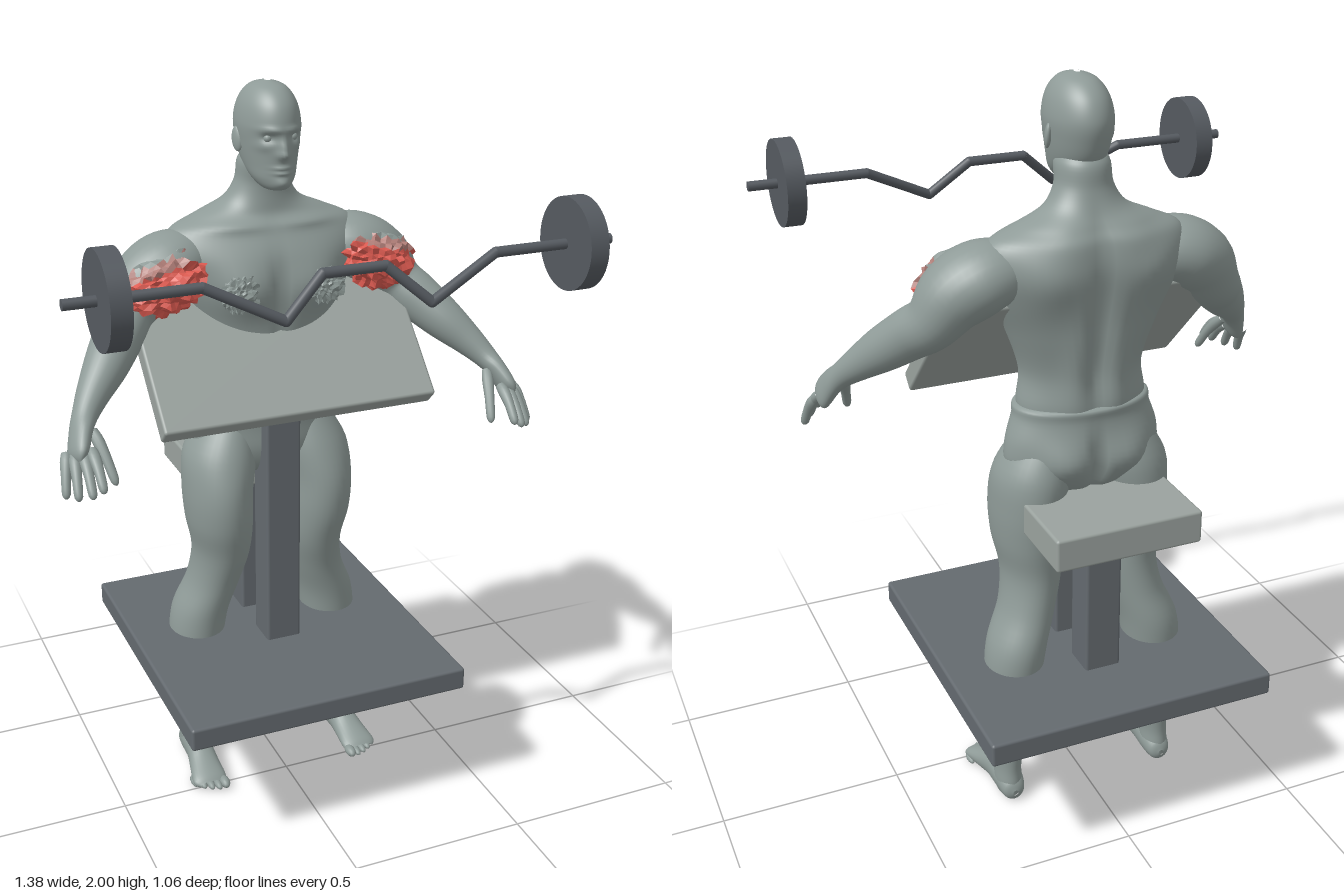
import * as THREE from 'three';
import { RoundedBoxGeometry } from 'three/addons/geometries/RoundedBoxGeometry.js';

const material = (name, color) => Object.assign(new THREE.MeshStandardMaterial({ color }), { name });
const V = (x, y, z) => new THREE.Vector3(x, y, z);
const UP = V(0, 1, 0), FORWARD = V(0, 0, 1);

// Smooth interpolation through rows of numbers
function spline(rows, t) {
  const i = Math.min(Math.floor(t), rows.length - 2), f = t - i;
  const at = k => rows[Math.max(0, Math.min(rows.length - 1, k))];
  return rows[0].map((_, c) => {
    const p0 = at(i - 1)[c], p1 = at(i)[c], p2 = at(i + 1)[c], p3 = at(i + 2)[c];
    return p1 + 0.5 * f * (p2 - p0 + f * (2 * p0 - 5 * p1 + 4 * p2 - p3 + f * (3 * (p1 - p2) + p3 - p0)));
  });
}

// Skin over elliptical sections [x, y, z, radiusA, radiusB]; dir fixes the ring direction
function loft(rows, { dir, deform, sides = 28, steps = 5 } = {}) {
  const count = (rows.length - 1) * steps, pos = [], index = [];
  const rings = Array.from({ length: count + 1 }, (_, i) => spline(rows, i / steps));
  rings.forEach((r, i) => {
    const a = rings[Math.max(0, i - 1)], b = rings[Math.min(count, i + 1)];
    const T = dir ?? V(b[0] - a[0], b[1] - a[1], b[2] - a[2]).normalize();
    const U = V().crossVectors(Math.abs(T.z) > 0.9 ? UP : FORWARD, T).normalize();
    const W = V().crossVectors(T, U);
    for (let j = 0; j < sides; j++) {
      const t = j / sides * Math.PI * 2;
      const p = V(r[0], r[1], r[2])
        .addScaledVector(U, Math.cos(t) * Math.max(0.001, r[3]))
        .addScaledVector(W, Math.sin(t) * Math.max(0.001, r[4]));
      if (deform) deform(p);
      pos.push(p.x, p.y, p.z);
      if (i < count) {
        const q = i * sides + j, n = i * sides + (j + 1) % sides;
        index.push(q, n, q + sides, n, n + sides, q + sides);
      }
    }
  });
  const g = new THREE.BufferGeometry();
  g.setAttribute('position', new THREE.Float32BufferAttribute(pos, 3));
  g.setIndex(index);
  g.computeVertexNormals();
  return g;
}

// Mirrored muscle bumps [x, y, widthX, widthY, height, side], side +1 front, -1 back
const bumps = (list, zc) => p => {
  const z = p.z;
  for (const [x, y, sx, sy, h, side] of list) {
    const facing = THREE.MathUtils.clamp((z - zc) * side * 20, 0, 1);
    p.z += side * h * facing * Math.exp(-(((Math.abs(p.x) - x) / sx) ** 2) - ((p.y - y) / sy) ** 2);
  }
};

// Jagged torn lump; pick(centre) chooses the material slot of each face
function crumple(radii, detail, amount, pick) {
  const g = new THREE.IcosahedronGeometry(1, detail), p = g.attributes.position, v = V();
  for (let i = 0; i < p.count; i++) {
    v.fromBufferAttribute(p, i);
    const n = Math.sin(v.x * 17 + v.y * 9) * Math.sin(v.y * 21 - v.z * 13) + 0.6 * Math.sin(v.z * 31 + v.x * 27);
    v.multiplyScalar(1 + amount * n).multiply(radii);
    p.setXYZ(i, v.x, v.y, v.z);
  }
  g.computeVertexNormals();
  if (pick) for (let i = 0; i < p.count; i += 3) {
    const c = V();
    for (let k = 0; k < 3; k++) c.add(v.fromBufferAttribute(p, i + k));
    g.addGroup(i, 3, pick(c.divideScalar(3).divide(radii)));
  }
  return g;
}

export function createModel() {
  const model = new THREE.Group();
  const skin = material('grey skin', 0x8f9b98), pad = material('pad grey', 0x9aa29e);
  const frame = material('frame grey', 0x646a6f), iron = material('iron grey', 0x555a60);
  const red = material('muscle red', 0xdc5a50), faded = material('faded red', 0xb4817b);
  const add = (name, geometry, mat, x = 0, y = 0, z = 0) => {
    const m = new THREE.Mesh(geometry, mat);
    m.name = name;
    m.position.set(x, y, z);
    model.add(m);
    return m;
  };
  const box = (name, w, h, d, mat, x, y, z) => add(name, new RoundedBoxGeometry(w, h, d, 2, 0.008), mat, x, y, z);

  // Bench
  box('basePlate', 0.8, 0.065, 0.86, frame, 0, 0.4075, -0.097);
  box('frontPost', 0.1, 0.85, 0.1, frame, 0, 0.845, -0.065);
  box('rearPost', 0.1, 0.46, 0.1, frame, 0, 0.65, -0.27);
  box('seat', 0.4, 0.09, 0.3, pad, 0, 0.905, -0.32);
  box('armPad', 0.76, 0.055, 0.45, pad, 0, 1.33, -0.048).rotation.x = Math.PI / 4;

  // Cambered barbell
  const bar = [[-0.69, 0, 0], [-0.37, 0, 0], [-0.185, -0.09, 0.037], [-0.08, 0, 0],
    [0.08, 0, 0], [0.185, -0.09, 0.037], [0.37, 0, 0], [0.69, 0, 0]].map(p => V(p[0], p[1] + 1.655, p[2] + 0.413));
  bar.slice(1).forEach((b, i) => {
    const a = bar[i], d = b.clone().sub(a);
    const m = add('barSegment', new THREE.CylinderGeometry(0.013, 0.013, d.length(), 16), iron);
    m.position.copy(a).add(b).multiplyScalar(0.5);
    m.quaternion.setFromUnitVectors(UP, d.normalize());
    if (i) add('barBend', new THREE.SphereGeometry(0.013, 16, 10), iron, a.x, a.y, a.z);
  });

  // Torso and neck
  add('torso', loft([
    [0, 1.1, -0.16, 0.02, 0.02], [0, 1.13, -0.16, 0.15, 0.1], [0, 1.18, -0.158, 0.174, 0.112],
    [0, 1.27, -0.155, 0.165, 0.11], [0, 1.38, -0.16, 0.2, 0.125], [0, 1.48, -0.165, 0.245, 0.133],
    [0, 1.56, -0.17, 0.275, 0.133], [0, 1.62, -0.178, 0.255, 0.112], [0, 1.655, -0.18, 0.185, 0.09],
    [0, 1.69, -0.175, 0.108, 0.078], [0, 1.74, -0.167, 0.074, 0.07], [0, 1.8, -0.155, 0.066, 0.072],
    [0, 1.84, -0.15, 0.03, 0.03]], { dir: UP, sides: 64, steps: 6, deform: bumps([
    [0.1, 1.48, 0.085, 0.07, 0.032, 1], [0, 1.48, 0.02, 0.09, -0.012, 1], [0, 1.29, 0.012, 0.08, -0.008, 1],
    [0.05, 1.3, 0.03, 0.025, 0.008, 1], [0.05, 1.23, 0.03, 0.025, 0.008, 1], [0.1, 1.64, 0.09, 0.015, 0.012, 1],
    [0.14, 1.54, 0.08, 0.08, 0.022, -1], [0, 1.4, 0.025, 0.2, -0.022, -1], [0.06, 1.27, 0.035, 0.1, 0.012, -1],
    [0.08, 1.64, 0.06, 0.05, 0.015, -1]], -0.165) }), skin);

  // Hips
  add('hips', loft([
    [0, 0.92, -0.16, 0.02, 0.02], [0, 0.95, -0.16, 0.13, 0.08], [0, 1.01, -0.163, 0.205, 0.108],
    [0, 1.08, -0.165, 0.21, 0.113], [0, 1.15, -0.16, 0.188, 0.115], [0, 1.182, -0.158, 0.18, 0.118],
    [0, 1.186, -0.158, 0.12, 0.08]], { dir: UP, sides: 56, deform: bumps([
    [0.09, 1.04, 0.07, 0.06, 0.028, -1], [0, 1.02, 0.016, 0.08, -0.03, -1]], -0.16) }), skin);

  // Head and face
  add('head', loft([
    [0, 1.732, -0.075, 0.008, 0.012], [0, 1.74, -0.078, 0.034, 0.048], [0, 1.765, -0.095, 0.055, 0.075],
    [0, 1.8, -0.118, 0.067, 0.1], [0, 1.85, -0.128, 0.076, 0.114], [0, 1.9, -0.13, 0.08, 0.121],
    [0, 1.95, -0.128, 0.069, 0.105], [0, 1.985, -0.126, 0.044, 0.066], [0, 1.999, -0.125, 0.008, 0.012]],
    { dir: UP, sides: 80, steps: 10, deform: bumps([
      [0, 1.845, 0.012, 0.022, 0.016, 1], [0, 1.829, 0.015, 0.01, 0.012, 1], [0.034, 1.872, 0.017, 0.012, -0.012, 1],
      [0.03, 1.892, 0.028, 0.008, 0.006, 1], [0, 1.796, 0.024, 0.005, 0.007, 1], [0, 1.783, 0.022, 0.005, 0.007, 1],
      [0, 1.757, 0.022, 0.014, 0.01, 1], [0.05, 1.85, 0.015, 0.012, 0.005, 1]], -0.12) }), skin);

  for (const s of [1, -1]) {
    const side = s > 0 ? 'left' : 'right';
    const limb = (name, rows, options) =>
      add(side + name, loft(rows.map(([x, ...r]) => [s * x, ...r]), options), skin);

    // Weight plate
    add(side + 'Plate', new THREE.CylinderGeometry(0.115, 0.115, 0.05, 48), iron, s * 0.588, 1.655, 0.413)
      .rotation.z = Math.PI / 2;

    // Ear and eye
    const ear = add(side + 'Ear', new THREE.SphereGeometry(1, 16, 12), skin, s * 0.079, 1.855, -0.135);
    ear.scale.set(0.009, 0.032, 0.018);
    ear.rotation.set(-0.2, s * -0.4, 0);
    add(side + 'Eye', new THREE.SphereGeometry(0.011, 14, 10), skin, s * 0.034, 1.871, -0.038);

    // Leg
    limb('Leg', [
      [0.23, 0.015, -0.19, 0.03, 0.045], [0.229, 0.05, -0.187, 0.037, 0.052], [0.228, 0.1, -0.185, 0.036, 0.05],
      [0.223, 0.18, -0.187, 0.044, 0.056], [0.215, 0.28, -0.187, 0.06, 0.073], [0.209, 0.4, -0.187, 0.077, 0.088],
      [0.195, 0.5, -0.185, 0.08, 0.096], [0.16, 0.6, -0.168, 0.074, 0.096], [0.141, 0.7, -0.15, 0.079, 0.108],
      [0.147, 0.8, -0.142, 0.091, 0.128], [0.149, 0.9, -0.145, 0.095, 0.134], [0.134, 1, -0.158, 0.1, 0.122],
      [0.11, 1.09, -0.165, 0.07, 0.09]], { dir: UP, sides: 36 });

    // Foot and toes
    limb('Foot', [
      [0.228, 0.03, -0.245, 0.008, 0.008], [0.228, 0.034, -0.232, 0.03, 0.032], [0.228, 0.045, -0.19, 0.039, 0.046],
      [0.231, 0.045, -0.12, 0.039, 0.046], [0.236, 0.03, -0.06, 0.045, 0.034], [0.24, 0.018, -0.005, 0.05, 0.021],
      [0.24, 0.014, 0.015, 0.035, 0.01]], { dir: FORWARD, deform: p => { p.y = Math.max(0, p.y); } });
    for (let i = 0; i < 5; i++) {
      const r = i ? 0.0105 : 0.0145;
      add(side + 'Toe', new THREE.SphereGeometry(1, 12, 8), skin, s * (0.202 + i * 0.02), r, 0.018 - i * i * 0.0025)
        .scale.set(r, r, 0.027);
    }

    // Arm
    limb('Arm', [
      [0.15, 1.55, -0.175, 0.03, 0.05], [0.2, 1.55, -0.172, 0.072, 0.09], [0.27, 1.535, -0.163, 0.09, 0.11],
      [0.335, 1.495, -0.152, 0.088, 0.098], [0.385, 1.43, -0.135, 0.07, 0.074], [0.425, 1.39, -0.09, 0.066, 0.066],
      [0.48, 1.335, -0.03, 0.057, 0.059], [0.53, 1.285, 0.02, 0.043, 0.045], [0.565, 1.245, 0.06, 0.032, 0.036],
      [0.585, 1.215, 0.09, 0.026, 0.042], [0.602, 1.175, 0.122, 0.022, 0.046], [0.607, 1.155, 0.135, 0.008, 0.03]]);

    // Fingers and thumb: base, tip
    [[[0.572, 1.185, 0.14], [0.57, 1.107, 0.233]], [[0.592, 1.175, 0.135], [0.596, 1.093, 0.226]],
      [[0.612, 1.17, 0.122], [0.626, 1.082, 0.2]], [[0.628, 1.17, 0.103], [0.649, 1.077, 0.165]],
      [[0.555, 1.215, 0.09], [0.525, 1.1, 0.182]]].forEach(([a, b], i) => {
      const at = (t, r) => [...a.map((v, k) => v + (b[k] - v) * t + (k === 1 ? 0.012 * Math.sin(t * Math.PI) : 0)), r, r];
      limb(i < 4 ? 'Finger' : 'Thumb',
        [at(0, 0.013), at(0.25, 0.0155), at(0.6, 0.013), at(0.92, 0.011), at(1, 0.002)], { sides: 12, steps: 3 });
    });

    // Torn upper-arm muscle, red in front and fading to skin
    const muscle = add(side + 'Biceps', crumple(V(0.115, 0.076, 0.078), 6, 0.13,
      c => c.z < -0.25 || c.y > 0.85 ? 2 : c.y > 0.5 ? 1 : 0), [red, faded, skin], s * 0.305, 1.508, -0.097);
    muscle.rotation.set(0, s * 0.35, s * -0.3);

    // Torn chest patch
    add(side + 'ChestPatch', crumple(V(0.05, 0.044, 0.02), 6, 0.2), skin, s * 0.12, 1.48, -0.018);
  }
  return model;
}
